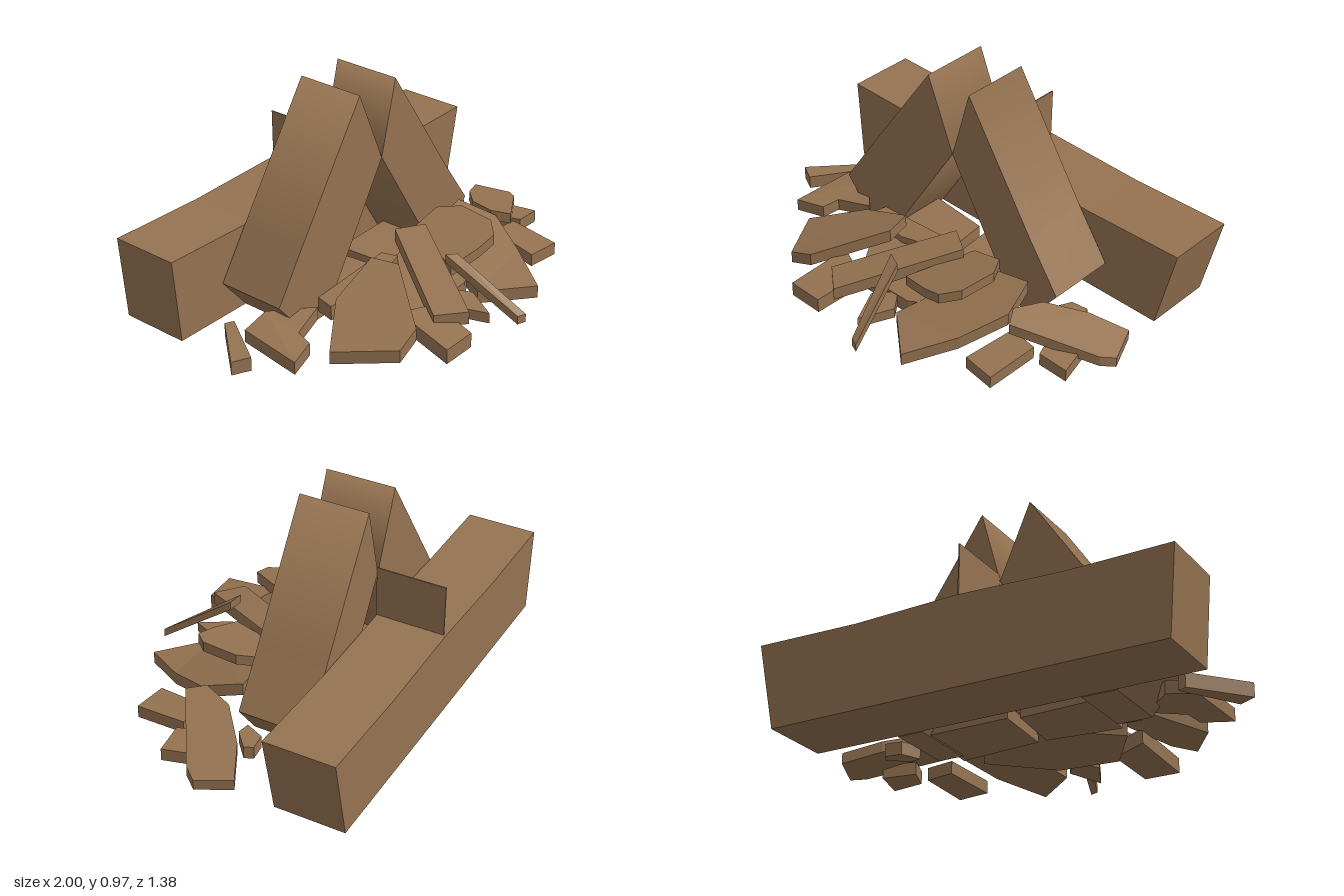
import * as THREE from 'three';

const wood = new THREE.MeshStandardMaterial({ color: 0x957351 });
wood.name = 'brown';

// Extrude a front (x, y) profile from z0 to z1
function prism(name, points, z0, z1) {
  const shape = new THREE.Shape(points.map(([x, y]) => new THREE.Vector2(x, y)));
  const geo = new THREE.ExtrudeGeometry(shape, { depth: z1 - z0, bevelEnabled: false });
  geo.translate(0, 0, z0);
  const mesh = new THREE.Mesh(geo, wood);
  mesh.name = name;
  return mesh;
}

// Round off the shading of a prism's side faces above a height, keeping its caps flat
function smoothAbove(mesh, height) {
  const { position: pos, normal } = mesh.geometry.attributes;
  const sums = new Map();
  const key = (i) => pos.getX(i).toFixed(3) + ',' + pos.getY(i).toFixed(3);
  const sides = [...Array(pos.count).keys()]
    .filter((i) => pos.getY(i) > height && Math.abs(normal.getZ(i)) < 0.5);
  for (const i of sides) {
    const n = new THREE.Vector3().fromBufferAttribute(normal, i);
    sums.set(key(i), n.add(sums.get(key(i)) ?? new THREE.Vector3()).clone());
  }
  for (const i of sides) {
    const n = sums.get(key(i)).clone().normalize();
    normal.setXYZ(i, n.x, n.y, n.z);
  }
  return mesh;
}

// Tilted slab from a ground (x, z) outline: underside height is
// y + sx * (x - cx) + sz * (z - cz), about the outline's centre, kept above ground
function shard(name, outline, y, thick, sx = 0, sz = 0) {
  const shape = new THREE.Shape(outline.map(([x, z]) => new THREE.Vector2(x, -z)));
  const geo = new THREE.ExtrudeGeometry(shape, { depth: thick, bevelEnabled: false });
  geo.rotateX(-Math.PI / 2);
  const cx = outline.reduce((s, p) => s + p[0], 0) / outline.length;
  const cz = outline.reduce((s, p) => s + p[1], 0) / outline.length;
  const pos = geo.attributes.position;
  for (let i = 0; i < pos.count; i++) {
    const base = y + sx * (pos.getX(i) - cx) + sz * (pos.getZ(i) - cz);
    pos.setY(i, Math.max(0, base) + pos.getY(i));
  }
  geo.computeVertexNormals();
  const mesh = new THREE.Mesh(geo, wood);
  mesh.name = name;
  return mesh;
}

export function createModel() {
  const model = new THREE.Group();
  model.name = 'brokenTimberPile';

  // Long beam lying at the back
  model.add(prism('backBeam',
    [[-0.945, 0], [0.905, 0], [0.995, 0.405], [0.5, 0.395], [0, 0.41], [-0.5, 0.393], [-0.975, 0.4]], -0.695, -0.365));

  // Two thick slabs leaning on each other
  model.add(smoothAbove(prism('rightLeaningSlab',
    [[-0.15, 0.968], [-0.54, 0.395], [-0.69, 0.17], [-0.55, 0], [-0.39, 0], [-0.005, 0.62]], -0.36, -0.03), 0.45));
  model.add(smoothAbove(prism('leftLeaningSlab',
    [[0.09, 0.968], [-0.005, 0.62], [0.37, 0], [0.49, 0], [0.62, 0.17], [0.46, 0.4]], -0.36, -0.03), 0.45));

  // Thin upright sheet standing on the beam, and a small splinter next to it
  model.add(prism('uprightSheet', [[-0.003, 0.39], [0.003, 0.39], [0.003, 0.65], [-0.003, 0.65]], -0.685, -0.36));
  model.add(shard('splinter', [[-0.15, -0.365], [-0.05, -0.365], [-0.11, -0.45]], 0.395, 0.01, 0, 0.15));

  // Broken pieces scattered in front
  const debris = new THREE.Group();
  debris.name = 'debris';
  debris.add(
    shard('loosePlank', [[-1, -0.02], [-0.92, 0.02], [-0.76, -0.23], [-0.8, -0.25]], 0, 0.065),
    shard('farRightChunk', [[-0.8, -0.13], [-0.66, -0.14], [-0.5, 0.02], [-0.67, 0.06], [-0.69, 0.14], [-0.83, 0.18]],
      0.02, 0.06, 0.15, -0.1),
    shard('broadRightSlab', [[-0.68, 0.24], [-0.45, 0.08], [-0.2, 0.07], [-0.17, 0.2], [-0.4, 0.48], [-0.52, 0.49]],
      0.09, 0.06, 0.36, -0.08),
    shard('lowRightSlab', [[-0.46, 0.06], [-0.44, -0.03], [-0.02, -0.02], [0, 0.06], [-0.2, 0.1]], 0.06, 0.07, 0.1, 0),
    shard('frontRightBlock', [[-0.37, 0.62], [-0.2, 0.62], [-0.16, 0.4], [-0.33, 0.33]], 0.02, 0.07, 0, -0.2),
    shard('topPlank', [[0.05, 0], [0.17, 0.08], [-0.15, 0.57], [-0.27, 0.47]], 0.13, 0.06, 0.13, -0.16),
    shard('frontChip', [[-0.07, 0.42], [0, 0.57], [0.08, 0.42], [0.02, 0.34]], 0.01, 0.05, 0, -0.2),
    shard('leaningStick', [[-0.02, 0.34], [0.04, 0.36], [0.11, 0.685], [0.07, 0.67]], 0.105, 0.04, 0, -0.72),
    shard('topLeftSlab', [[0.05, 0.32], [0.17, 0.01], [0.33, 0.02], [0.39, 0.12], [0.37, 0.3], [0.3, 0.37], [0.2, 0.36]],
      0.18, 0.05, 0.28, 0),
    shard('broadLeftSlab', [[0.1, 0.43], [0.31, 0.61], [0.45, 0.4], [0.55, 0.2], [0.5, 0.02], [0.28, 0.04]],
      0.07, 0.06, 0.12, -0.28),
    shard('frontLeftBlock', [[0.52, 0.43], [0.68, 0.45], [0.7, 0.2], [0.56, 0.18]], 0.01, 0.06, 0, -0.1),
    shard('outerLeftSlab', [[0.55, 0.17], [0.6, 0.03], [0.75, -0.1], [0.91, -0.18], [0.975, -0.02], [0.93, 0.04], [0.6, 0.25]],
      0.07, 0.05, -0.32, 0.03),
    shard('leftChip', [[0.62, -0.14], [0.7, -0.15], [0.72, -0.11], [0.64, -0.04], [0.58, -0.05]], 0.02, 0.06),
    shard('lowLeftPlank', [[0.7, 0.1], [0.84, 0.04], [0.88, 0.2], [0.74, 0.21]], 0.01, 0.06, -0.1, 0),
    shard('underSlab', [[-0.35, 0.14], [-0.05, 0], [0.3, 0.04], [0.4, 0.2], [0.1, 0.36], [-0.2, 0.36]], 0.03, 0.07, 0.05, -0.12),
    // Pieces lying in the gap between the leaning slabs
    shard('gapSlabRight', [[-0.42, -0.3], [-0.05, -0.26], [-0.02, 0.02], [-0.38, 0.03]], 0.01, 0.06, 0.03, 0),
    shard('gapSlabLeft', [[0, -0.28], [0.38, -0.3], [0.4, 0.03], [0.02, 0.02]], 0.01, 0.06, -0.03, 0)
  );
  model.add(debris);
  return model;
}
